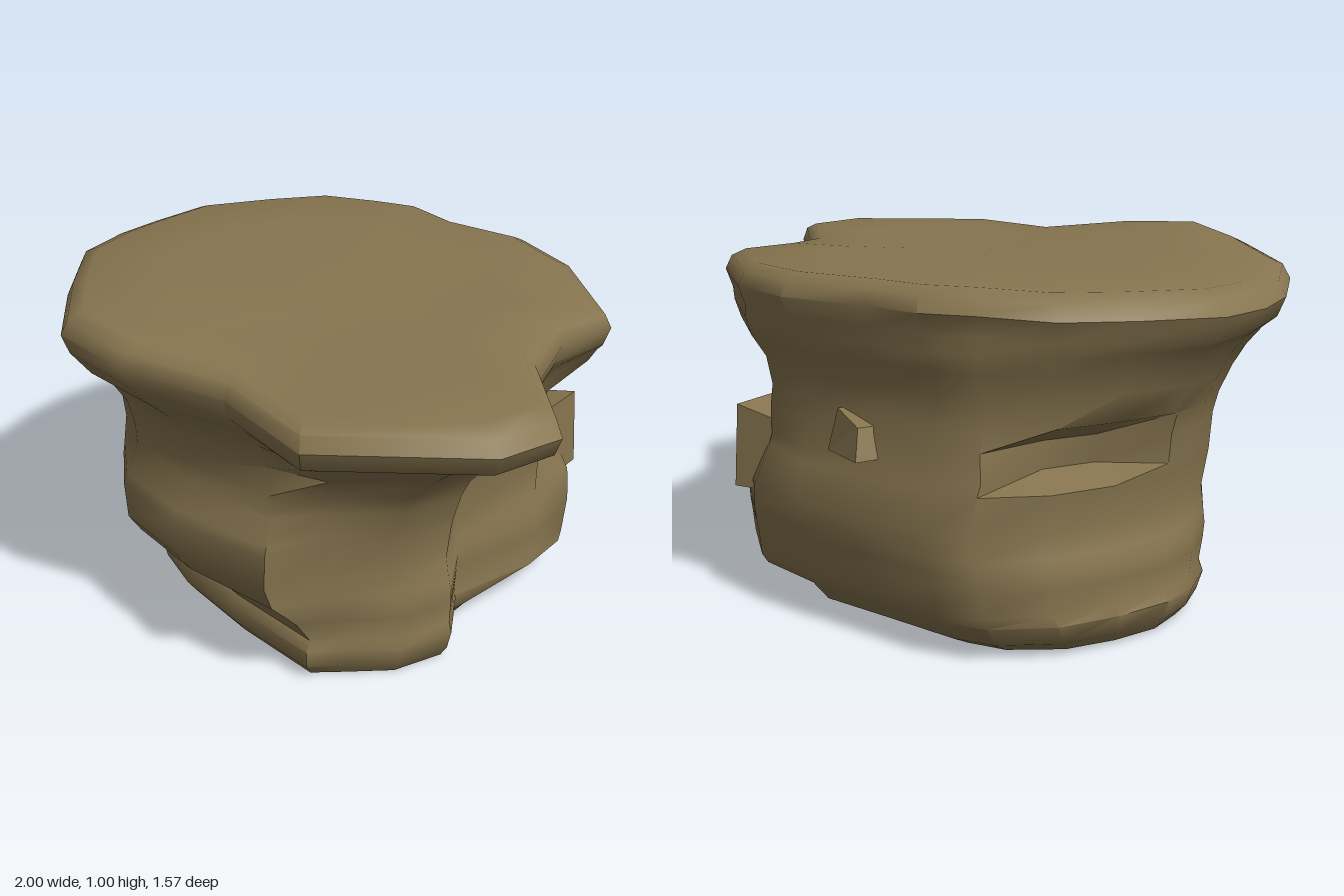
import * as THREE from 'three';
import { toCreasedNormals } from 'three/addons/utils/BufferGeometryUtils.js';

// Matching plan outlines [x, z], counterclockwise from the front: overhanging rim and narrow waist
const RIM = [[-.21, .78], [.06, .745], [.33, .60], [.69, .62], [1, .26], [1, .06], [.70, -.15],
  [.58, -.35], [.57, -.55], [.22, -.745], [-.04, -.79], [-.30, -.72], [-.5, -.72], [-.63, -.65],
  [-.81, -.55], [-.91, -.37], [-1, -.15], [-.97, .05], [-.91, .22], [-.78, .42], [-.5, .61]];
const WAIST = [[-.18, .63], [.10, .63], [.41, .54], [.47, .36], [.55, .22], [.57, .03], [.43, -.12],
  [.43, -.43], [.38, -.61], [.18, -.73], [-.04, -.74], [-.26, -.71], [-.50, -.68], [-.61, -.63],
  [-.72, -.48], [-.77, -.30], [-.79, -.12], [-.76, .03], [-.70, .17], [-.56, .34], [-.36, .53]];
// Height of the rim's upper edge at each outline point
const TOP = [1, .985, .955, .955, .96, .955, .945, .955, .955, .96, .965,
  .965, .97, .97, .965, .96, .955, .95, .955, .97, .99];

// Wall levels: height, blend from waist to rim, front reach of waist z, scale of x, scale of back z
const LEVELS = [
  [0, 0, .41, .95, .78], [.04, 0, .44, 1, .89], [.10, 0, .45, 1.03, .96], [.13, 0, .43, 1.01, .99],
  [.20, 0, .48, 1.02, 1], [.24, 0, .52, 1.02, 1.01], [.28, 0, .59, 1, 1.02], [.34, 0, .63, .98, 1.02],
  [.45, 0, .64, 1.01, 1], [.48, .02, .62, 1.01, .98], [.56, .10, .56, 1, .97], [.62, .18, .54, 1, .94],
  [.70, .36, .50, 1, .93], [.76, .53, .48, 1, .94], [.81, .72, .50, 1, .95]];
// Rim levels: drop below the upper edge, outline scale
const LIP = [[.115, .975], [.06, 1], [.02, .975], [0, .92]];

// Skin over stacked rings, closed at the top and hollow underneath
function loft(rings, top) {
  const n = rings[0].length, index = [];
  const points = rings.flat();
  for (let r = 0; r < rings.length - 1; r++)
    for (let i = 0; i < n; i++) {
      const j = (i + 1) % n, a = r * n + i, b = r * n + j;
      index.push(a, b, b + n, a, b + n, a + n);
    }
  const high = points.push(top) - 1;
  const last = (rings.length - 1) * n;
  for (let i = 0; i < n; i++) index.push(high, last + i, last + (i + 1) % n);
  const g = new THREE.BufferGeometry();
  g.setAttribute('position', new THREE.Float32BufferAttribute(points.flat(), 3));
  g.setIndex(index);
  return toCreasedNormals(g, .85);
}

function wallRing([y, t, reach, sx, sz]) {
  return WAIST.map(([wx, wz], i) => {
    // recessed ledge on the back right, crevice and tapered foot on the back left
    let cut = 1;
    if ((i === 14 || i === 15) && y > .46 && y < .6) cut = .84;
    if (i === 8 && y > .34 && y < .72) cut = .83;
    if (i === 9 && y > .34 && y < .72) cut = .95;
    if (i >= 7 && i <= 9 && y < .05) cut = .86;
    // the front face rounds off toward its ends as it steps in
    const z = wz < 0 ? wz * sz : (Math.min(wz, reach) + wz * reach / .63) / 2;
    return [
      THREE.MathUtils.lerp(wx * sx * cut, RIM[i][0], t), y,
      THREE.MathUtils.lerp(z * cut, RIM[i][1], t)];
  });
}

export function createModel() {
  const group = new THREE.Group();
  const rock = new THREE.MeshStandardMaterial({ color: 0x87754f, side: THREE.DoubleSide });
  rock.name = 'brown rock';
  const add = (name, geometry) => {
    const mesh = new THREE.Mesh(geometry, rock);
    mesh.name = name;
    group.add(mesh);
    return mesh;
  };

  // Main body: wall, overhanging lip and gently sloping top
  const rings = LEVELS.map(wallRing);
  for (const [drop, s] of LIP)
    rings.push(RIM.map(([x, z], i) => [x * s, TOP[i] - drop, z * s]));
  for (const [s, k] of [[.65, .5], [.33, .2]])
    rings.push(RIM.map(([x, z], i) =>
      [x * s, THREE.MathUtils.lerp(.957 - .03 * x * s, TOP[i], k), z * s]));
  add('rockBody', loft(rings, [0, .957, 0]));

  // Angular blocks bulging from the wall: tapered, skewed boxes
  const block = (name, x, y, z, w, h, d, turn, taper) => {
    const g = new THREE.BoxGeometry(w, h, d);
    const p = g.attributes.position;
    for (let i = 0; i < p.count; i++)
      if (p.getY(i) > 0)
        p.setXYZ(i, p.getX(i) * taper, p.getY(i) + p.getX(i) * .2, p.getZ(i) * taper);
    const mesh = add(name, g.toNonIndexed());
    mesh.geometry.computeVertexNormals();
    mesh.position.set(x, y, z);
    mesh.rotation.y = turn;
  };
  block('backBlock', .23, .42, -.61, .2, .22, .18, .3, .9);
  block('backLump', -.23, .55, -.67, .16, .1, .14, -.2, .7);
  return group;
}
